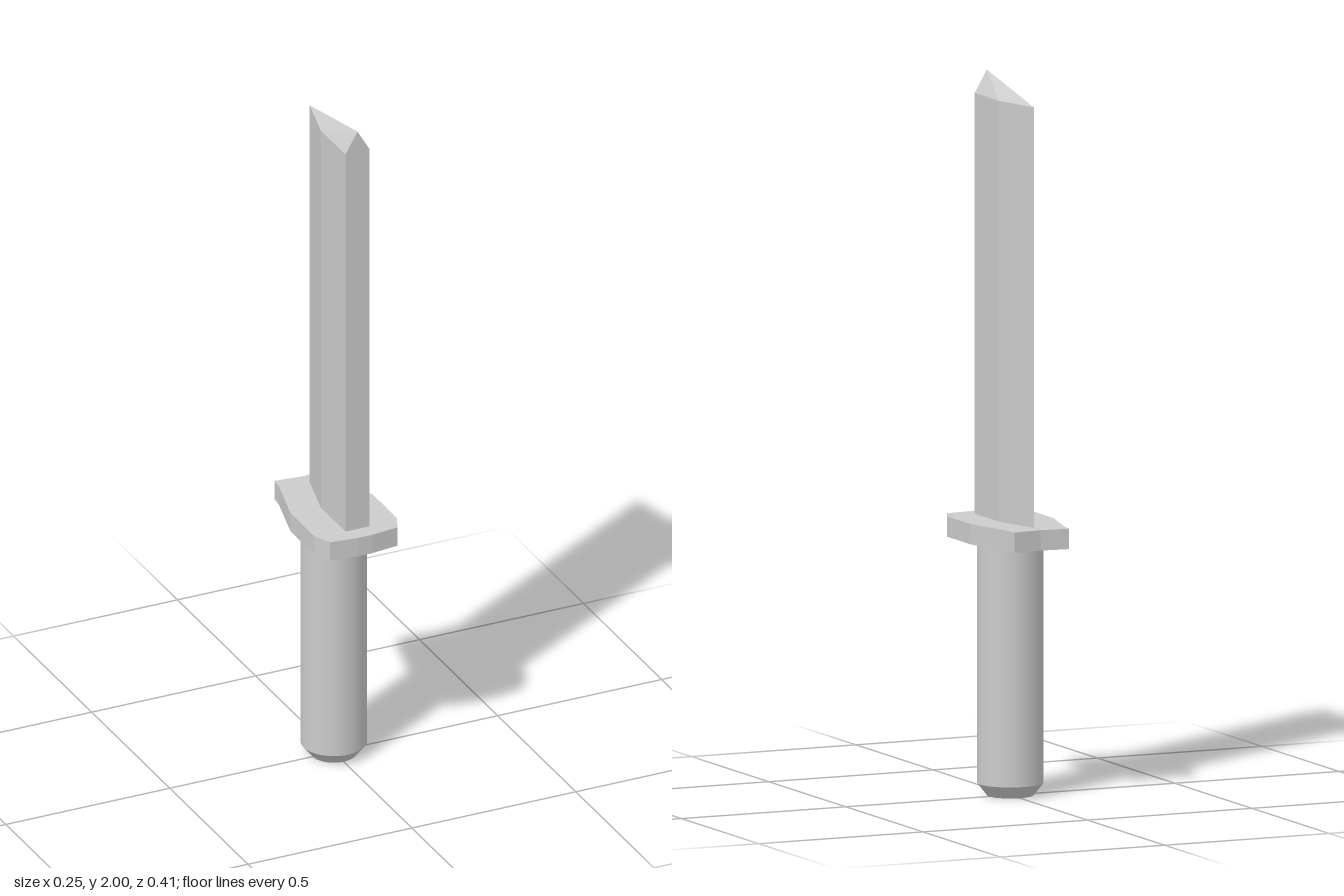
import * as THREE from 'three';

const material = new THREE.MeshStandardMaterial({ color: 0xcccccc });
const flatMaterial = new THREE.MeshStandardMaterial({ color: 0xcccccc, flatShading: true });

function part(name, geometry, mat = material) {
  const mesh = new THREE.Mesh(geometry, mat);
  mesh.name = name;
  return mesh;
}

// Wedge-section blade: straight walls, closed by a fan of faces rising to one peak
function bladeGeometry(base, shoulder, section, peak) {
  const positions = [];
  section.forEach(([px, pz], i) => {
    const [qx, qz] = section[(i + 1) % section.length];
    const p0 = [px, base, pz], p1 = [px, shoulder, pz];
    const q0 = [qx, base, qz], q1 = [qx, shoulder, qz];
    positions.push(...p0, ...q1, ...q0, ...p0, ...p1, ...q1);
    positions.push(...p1, ...peak, ...q1);
  });
  const geometry = new THREE.BufferGeometry();
  geometry.setAttribute('position', new THREE.Float32BufferAttribute(positions, 3));
  geometry.computeVertexNormals();
  return geometry;
}

// Flat guard plate with a mirrored outline, given as [x, z] for the left half
function guardGeometry(half, bottom, top) {
  const mirrored = half.filter(([x]) => x > 0).reverse().map(([x, z]) => [-x, z]);
  const shape = new THREE.Shape([...half, ...mirrored].map(([x, z]) => new THREE.Vector2(x, z)));
  const geometry = new THREE.ExtrudeGeometry(shape, { depth: top - bottom, bevelEnabled: false });
  return geometry.rotateX(Math.PI / 2).translate(0, top, 0);
}

export function createModel() {
  const model = new THREE.Group();
  model.name = 'knife';

  // Blade: cutting edge at the back, thick spine at the front
  const section = [[0, -0.154], [0.037, -0.005], [0.037, 0.152], [-0.037, 0.152], [-0.037, -0.005]];
  model.add(part('blade', bladeGeometry(0.74, 1.937, section, [0, 2, 0.152]), flatMaterial));

  // Guard
  const outline = [[0, -0.195], [0.083, -0.204], [0.087, -0.168], [0.126, -0.012],
    [0.126, 0.141], [0.103, 0.191], [0.022, 0.201]];
  model.add(part('guard', guardGeometry(outline, 0.708, 0.765), flatMaterial));

  // Round grip with a chamfered pommel
  const grip = part('grip', new THREE.CylinderGeometry(0.092, 0.092, 0.69, 32, 1, true));
  grip.position.y = 0.035 + 0.345;
  const pommel = part('pommel', new THREE.CylinderGeometry(0.092, 0.064, 0.035, 32));
  pommel.position.y = 0.0175;
  model.add(grip, pommel);

  return model;
}
